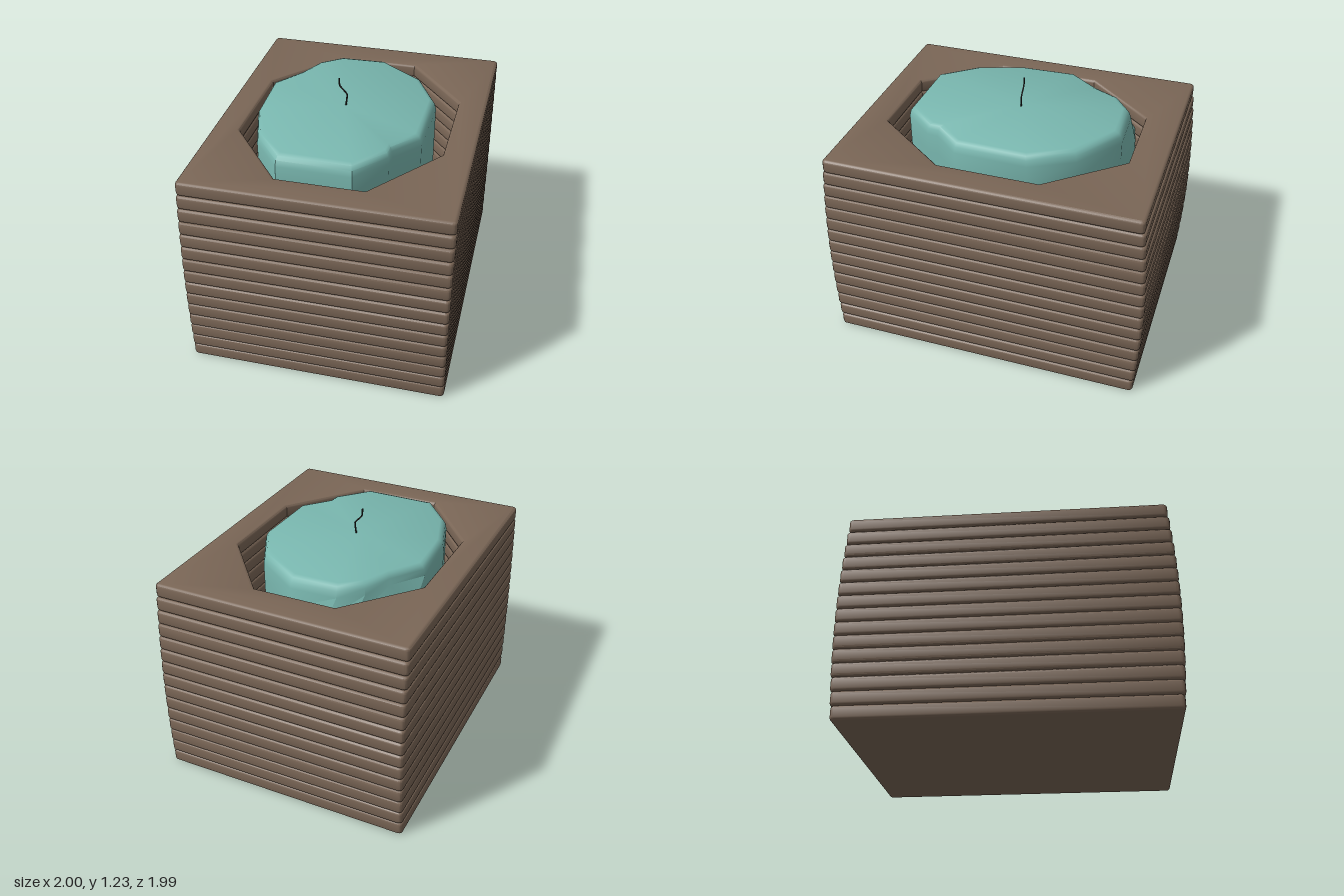
import * as THREE from 'three';
import { toCreasedNormals } from 'three/addons/utils/BufferGeometryUtils.js';

const wood = new THREE.MeshStandardMaterial({ color: 0x7a6656 });
wood.name = 'brown holder';
const wax = new THREE.MeshStandardMaterial({ color: 0x79b7af });
wax.name = 'teal wax';
const char = new THREE.MeshStandardMaterial({ color: 0x2c2a28 });
char.name = 'dark wick';

const LAYERS = 15, HEIGHT = 1.03, BEVEL = 0.014;
const LAYER_H = HEIGHT / LAYERS;

// Octagonal well, as [x, z]
const WELL = [
  [-0.16, -0.53], [0.28, -0.557], [0.565, -0.268], [0.52, 0.18],
  [0.165, 0.52], [-0.3, 0.573], [-0.59, 0.273], [-0.53, -0.18],
];

// Candle outlines, as [x, z]: the body, and the shoulder where one side has sagged
const BODY = [
  [-0.206, -0.44], [-0.115, -0.53], [0.2, -0.555], [0.297, -0.493], [0.415, -0.33],
  [0.458, -0.053], [0.383, 0.171], [0.12, 0.412], [-0.05, 0.42], [-0.094, 0.455],
  [-0.297, 0.46], [-0.544, 0.198], [-0.517, -0.027], [-0.4, -0.24],
];
const SHOULDER = BODY.map((p) => [...p]);
SHOULDER[1] = [-0.02, -0.465];
SHOULDER[2] = [0.12, -0.51];
SHOULDER[3] = [0.25, -0.49];

// Rectangle with rounded corners, turned on the vertical axis (shape y = -z)
function plankShape(halfLong, halfShort) {
  const r = 0.02, angle = Math.atan2(0.694, 0.72), points = [];
  [[1, 1], [-1, 1], [-1, -1], [1, -1]].forEach(([sx, sy], corner) => {
    for (let k = 0; k <= 3; k++) {
      const a = (corner + k / 3) * Math.PI / 2;
      points.push(new THREE.Vector2(
        sx * (halfLong - r) + r * Math.cos(a),
        sy * (halfShort - r) + r * Math.sin(a),
      ).rotateAround(new THREE.Vector2(), angle));
    }
  });
  return new THREE.Shape(points);
}

// One slab of the holder; the short ends bulge gently at mid height
function layerGeometry(i) {
  const y = (i + 0.5) * LAYER_H;
  const shape = plankShape(0.792 - 0.035 * ((y - 0.45) / 0.58) ** 2, 0.631);
  if (i > 0) {
    shape.holes.push(new THREE.Path(WELL.map(([x, z]) => new THREE.Vector2(x, -z))));
  }
  const geometry = new THREE.ExtrudeGeometry(shape, {
    depth: LAYER_H - 2 * BEVEL, bevelThickness: BEVEL, bevelSize: BEVEL,
    bevelOffset: -BEVEL, bevelSegments: 3,
  });
  geometry.rotateX(-Math.PI / 2);
  geometry.translate(0, i * LAYER_H + BEVEL, 0);
  return toCreasedNormals(geometry, 0.55);
}

// Loft through rings of [outline, y, scale], closed at the top
function candleGeometry() {
  const cx = -0.04, cz = -0.03, n = BODY.length;
  const rings = [
    [BODY, LAYER_H, 1], [BODY, 0.93, 1], [SHOULDER, 1.03, 1],
    [SHOULDER, 1.06, 0.985], [SHOULDER, 1.078, 0.96], [SHOULDER, 1.086, 0.92],
  ];
  const positions = [], index = [];
  for (const [outline, y, s] of rings) {
    for (const [x, z] of outline) positions.push(cx + (x - cx) * s, y, cz + (z - cz) * s);
  }
  positions.push(cx, 1.088, cz);
  const centre = rings.length * n, last = centre - n;
  for (let i = 0; i < n; i++) {
    const j = (i + 1) % n;
    for (let r = 0; r < rings.length - 1; r++) {
      const a = r * n + i, b = r * n + j;
      index.push(a, a + n, b, b, a + n, b + n);
    }
    index.push(centre, last + j, last + i);
  }
  const geometry = new THREE.BufferGeometry();
  geometry.setAttribute('position', new THREE.Float32BufferAttribute(positions, 3));
  geometry.setIndex(index);
  return toCreasedNormals(geometry, 0.75);
}

// Thin crooked wick
function wickGeometry() {
  const path = new THREE.CatmullRomCurve3([
    [-0.027, 1.08, -0.022], [-0.02, 1.145, -0.02],
    [-0.045, 1.188, -0.047], [-0.047, 1.23, -0.05],
  ].map((p) => new THREE.Vector3(...p)), false, 'catmullrom', 0.2);
  return new THREE.TubeGeometry(path, 18, 0.004, 6);
}

export function createModel() {
  const model = new THREE.Group();
  model.name = 'candleInHolder';
  const add = (parent, name, geometry, material) => {
    const mesh = new THREE.Mesh(geometry, material);
    mesh.name = name;
    parent.add(mesh);
  };

  const holder = new THREE.Group();
  holder.name = 'holder';
  for (let i = 0; i < LAYERS; i++) {
    add(holder, i === 0 ? 'base' : `layer${i}`, layerGeometry(i), wood);
  }
  model.add(holder);

  add(model, 'candle', candleGeometry(), wax);
  add(model, 'wick', wickGeometry(), char);
  return model;
}
